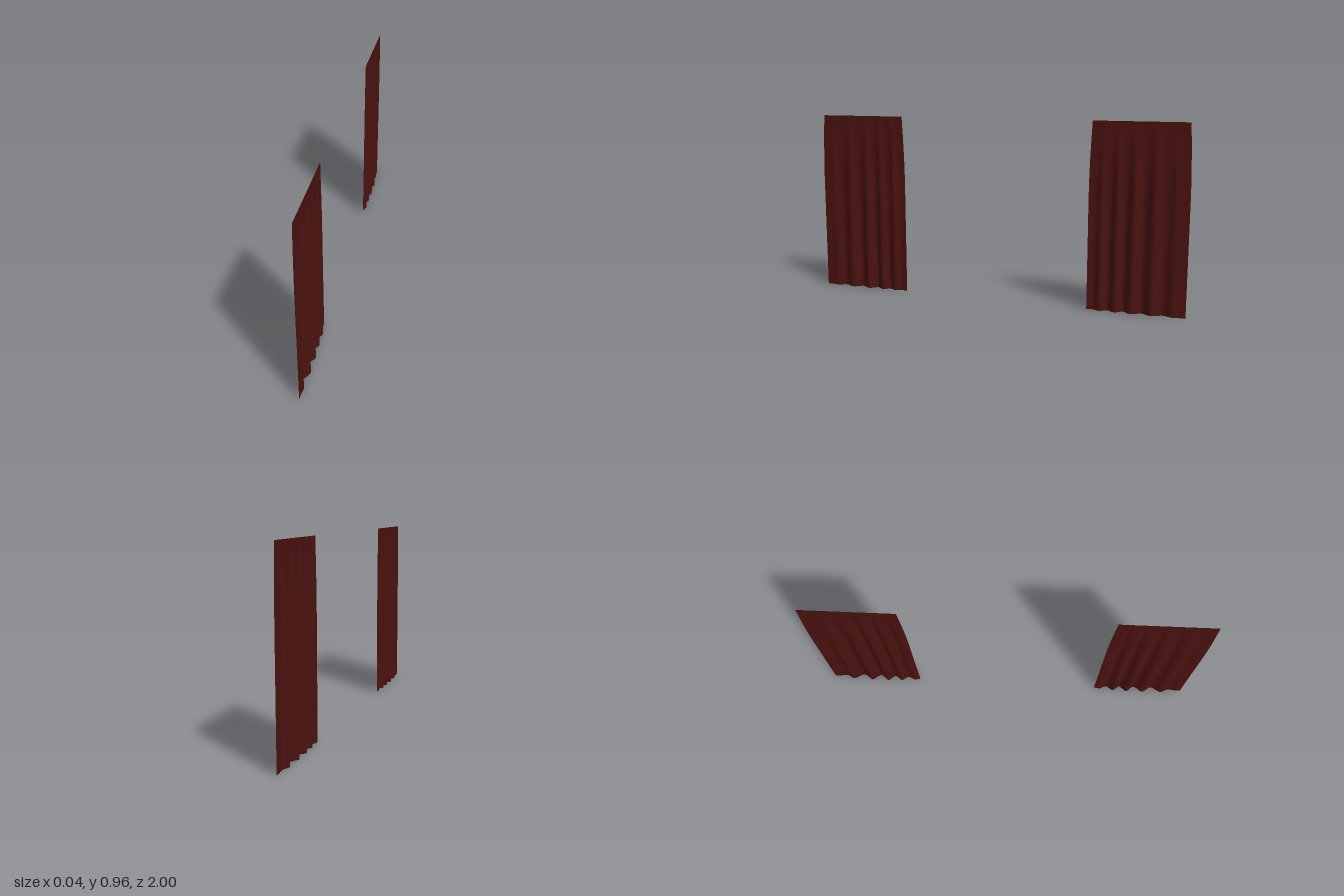
import * as THREE from 'three';

const HEIGHT = 0.96;

// Fold line at the hem: x = distance along the rail, y = depth of the fold (-1..1)
const folds = new THREE.SplineCurve([
  [0.505, 0], [0.54, -0.35], [0.573, 0.7], [0.612, -0.8], [0.65, 0.8], [0.69, -1], [0.733, 1],
  [0.782, -1], [0.832, 1], [0.885, -0.8], [0.93, 0.35], [0.965, 0.1], [1, 0],
].map(([z, d]) => new THREE.Vector2(z, d)));

// One cloth panel; side = 1 or -1 mirrors it along z
function curtain(side, name, material) {
  const across = 96, down = 32;
  const line = folds.getPoints(across);
  const geometry = new THREE.PlaneGeometry(1, 1, across, down);
  const pos = geometry.attributes.position;
  for (let j = 0; j <= down; j++) {
    const t = j / down;
    // Folds open from a flat top; the panel widens slightly on the way down
    const outward = 0.0125 * Math.min(1, t / 0.27);
    const inward = 0.0155 * Math.pow(t, 0.75);
    const width = 0.95 + 0.05 * Math.sin(Math.min(1, t / 0.4) * Math.PI / 2);
    for (let i = 0; i <= across; i++) {
      const { x: along, y: depth } = line[i];
      const x = depth * (depth > 0 ? outward : inward) + 0.0045 * -side;
      const z = side * (0.755 + (along - 0.755) * width);
      pos.setXYZ(j * (across + 1) + i, x, HEIGHT * (1 - t), z);
    }
  }
  geometry.computeVertexNormals();
  const mesh = new THREE.Mesh(geometry, material);
  mesh.name = name;
  return mesh;
}

export function createModel() {
  const group = new THREE.Group();
  group.name = 'curtains';
  const cloth = new THREE.MeshStandardMaterial({ color: 0x4a1210, side: THREE.DoubleSide });
  group.add(curtain(1, 'frontCurtain', cloth), curtain(-1, 'backCurtain', cloth));
  return group;
}
